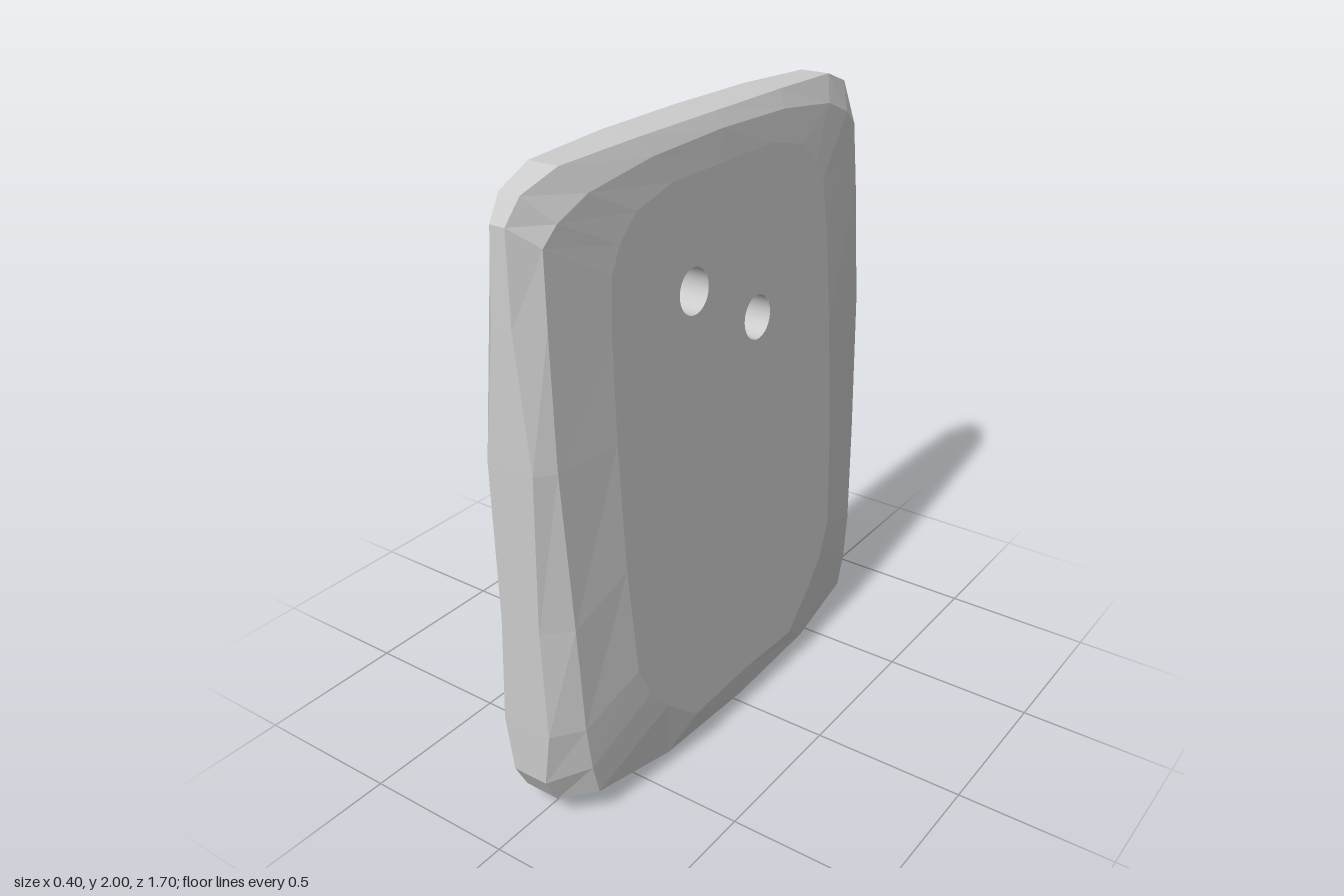
import * as THREE from 'three';

// Half thickness of the wedge at height y
const halfThickness = (y) => 0.209 - 0.0555 * y;

// Half outlines from top centre round to bottom centre: [z, y, x]
const EDGE = [
  [0, 2, 0.07], [0.35, 1.998, 0.065], [0.66, 1.987, 0.05], [0.79, 1.94, 0.035], [0.84, 1.87, 0.025],
  [0.848, 1.6, 0.035], [0.85, 1.2, 0.08], [0.85, 0.7, 0.07], [0.85, 0.35, 0.085], [0.848, 0.17, 0.06],
  [0.8, 0.08, 0.06], [0.4, 0.01, 0.1], [0, 0, 0.12],
];
const RIM = [
  [0, 1.955, 0.097], [0.33, 1.945, 0.095], [0.6, 1.91, 0.092], [0.72, 1.86, 0.09], [0.775, 1.81, 0.088],
  [0.785, 1.6, 0.1], [0.795, 1.2, 0.12], [0.775, 0.7, 0.14], [0.76, 0.35, 0.15], [0.74, 0.2, 0.152],
  [0.71, 0.09, 0.15], [0.4, 0.045, 0.178], [0, 0.035, 0.185],
];
const FACE = [
  [0, 1.86], [0.25, 1.86], [0.42, 1.82], [0.5, 1.75], [0.54, 1.68],
  [0.56, 1.5], [0.57, 1.2], [0.57, 0.8], [0.55, 0.45], [0.5, 0.34],
  [0.42, 0.25], [0.28, 0.13], [0, 0.14],
].map(([z, y]) => [z, y, halfThickness(y)]);

const HOLES = [{ z: 0.18, y: 1.525 }, { z: -0.14, y: 1.345 }];
const HOLE_RADIUS = 0.071;
const HOLE_SEGMENTS = 32;

// Mirror a half outline in z into a closed ring on one side of the slab
function ring(half, side) {
  const mirrored = half.slice(1, -1).reverse().map(([z, y, x]) => [-z, y, x]);
  return [...half, ...mirrored].map(([z, y, x]) => new THREE.Vector3(side * x, y, z));
}

function slabGeometry() {
  const positions = [];
  const tri = (a, b, c, flip) => {
    for (const p of flip ? [a, c, b] : [a, b, c]) positions.push(p.x, p.y, p.z);
  };
  const band = (outer, inner, flip) => {
    outer.forEach((a, i) => {
      const j = (i + 1) % outer.length;
      tri(outer[j], a, inner[i], flip);
      tri(outer[j], inner[i], inner[j], flip);
    });
  };

  // Narrow edge band all the way round
  band(ring(EDGE, 1), ring(EDGE, -1), false);

  // Flat face with the two holes, laid out in (z, y)
  const shape = new THREE.Shape(FACE.length && ring(FACE, 1).map((p) => new THREE.Vector2(p.z, p.y)));
  for (const h of HOLES) {
    shape.holes.push(new THREE.Path().absarc(h.z, h.y, HOLE_RADIUS, 0, Math.PI * 2, true));
  }
  const flat = new THREE.ShapeGeometry(shape, HOLE_SEGMENTS).toNonIndexed().attributes.position;

  for (const side of [-1, 1]) {
    const flip = side > 0;
    // Bevels, then the face itself
    band(ring(EDGE, side), ring(RIM, side), flip);
    band(ring(RIM, side), ring(FACE, side), flip);
    const point = (i) => new THREE.Vector3(side * halfThickness(flat.getY(i)), flat.getY(i), flat.getX(i));
    for (let i = 0; i < flat.count; i += 3) tri(point(i), point(i + 1), point(i + 2), flip);
  }

  const geometry = new THREE.BufferGeometry();
  geometry.setAttribute('position', new THREE.Float32BufferAttribute(positions, 3));
  geometry.computeVertexNormals();
  return geometry;
}

// Open tube through the slab, its ends cut to the sloping faces
function holeGeometry({ z, y }) {
  const geometry = new THREE.CylinderGeometry(HOLE_RADIUS, HOLE_RADIUS, 1, HOLE_SEGMENTS, 1, true);
  geometry.rotateZ(Math.PI / 2).translate(0, y, z);
  const pos = geometry.attributes.position;
  for (let i = 0; i < pos.count; i++) {
    pos.setX(i, Math.sign(pos.getX(i)) * halfThickness(pos.getY(i)));
  }
  return geometry;
}

export function createModel() {
  const group = new THREE.Group();
  group.name = 'piercedStoneSlab';

  const slab = new THREE.Mesh(
    slabGeometry(),
    new THREE.MeshStandardMaterial({ color: 0xcccccc, flatShading: true }),
  );
  slab.name = 'slab';
  group.add(slab);

  const wallMaterial = new THREE.MeshStandardMaterial({ color: 0xcccccc, side: THREE.BackSide });
  HOLES.forEach((hole, i) => {
    const wall = new THREE.Mesh(holeGeometry(hole), wallMaterial);
    wall.name = i === 0 ? 'upperHoleWall' : 'lowerHoleWall';
    group.add(wall);
  });
  return group;
}
